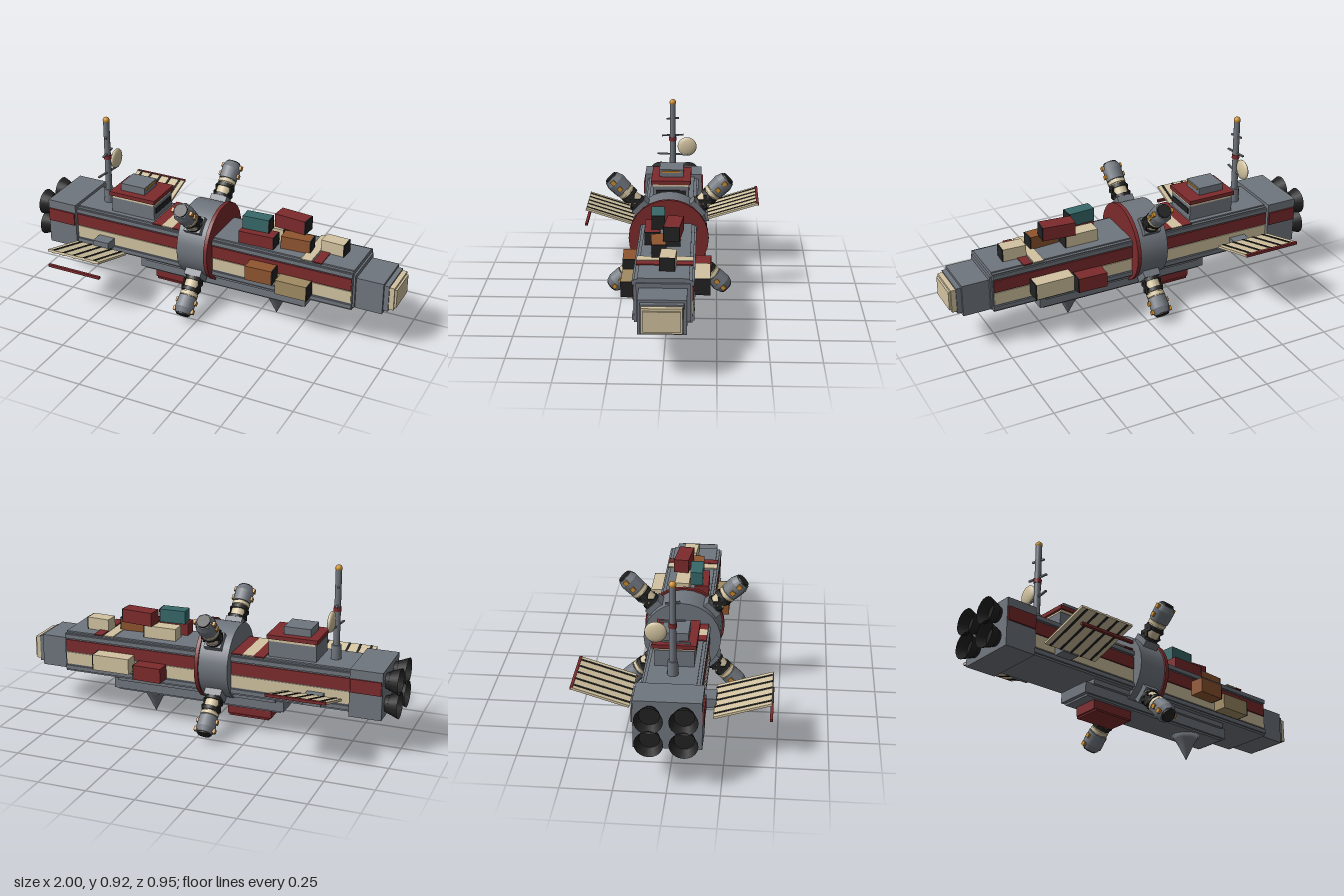
import * as THREE from 'three';

const mat = (name, color) => {
  const m = new THREE.MeshStandardMaterial({ color });
  m.name = name;
  return m;
};

export function createModel() {
  const root = new THREE.Group();
  root.name = 'spaceFreighter';
  const grey = mat('hullGrey', 0x70767e), red = mat('darkRed', 0x7c2a2c), cream = mat('cream', 0xd2c3a0);
  const black = mat('black', 0x222222), brown = mat('rustBrown', 0x90552f), teal = mat('teal', 0x37696a);
  const gold = mat('amber', 0xc98c30), khaki = mat('khaki', 0xa08c64);
  engineSafe(black);

  function engineSafe(m) { m.side = THREE.DoubleSide; }
  function add(name, geo, m, parent = root) {
    const mesh = new THREE.Mesh(geo, m);
    mesh.name = name;
    parent.add(mesh);
    return mesh;
  }
  // box given by its limits on each axis
  function box(name, m, x0, x1, y0, y1, z0, z1, parent = root) {
    const b = add(name, new THREE.BoxGeometry(x1 - x0, y1 - y0, z1 - z0), m, parent);
    b.position.set((x0 + x1) / 2, (y0 + y1) / 2, (z0 + z1) / 2);
    return b;
  }
  // upright cylinder from y0 to y1
  function cyl(name, m, r0, r1, y0, y1, sides, parent = root) {
    const c = add(name, new THREE.CylinderGeometry(r1, r0, y1 - y0, sides), m, parent);
    c.position.y = (y0 + y1) / 2;
    return c;
  }

  // main hull, nose and tail block
  box('hull', grey, -0.77, 0.79, 0.215, 0.425, -0.135, 0.135);
  box('hullRoof', grey, -0.77, 0.79, 0.425, 0.432, -0.12, 0.12);
  box('tailBlock', grey, -0.93, -0.765, 0.2, 0.447, -0.16, 0.16);
  box('noseCollar', grey, 0.79, 0.8, 0.225, 0.41, -0.125, 0.125);
  box('noseSection', grey, 0.8, 0.94, 0.22, 0.388, -0.112, 0.112);
  box('noseFrame', grey, 0.94, 0.965, 0.235, 0.375, -0.1, 0.1);
  box('noseCap', cream, 0.96, 0.99, 0.245, 0.367, -0.094, 0.094);
  box('noseCapFace', cream, 0.99, 1.0, 0.255, 0.355, -0.084, 0.084);

  // side stripes and edge rails
  for (const s of [-1, 1]) {
    const side = (name, m, x0, x1, y0, y1, z, t) =>
      box(name, m, x0, x1, y0, y1, Math.min(s * z, s * (z + t)), Math.max(s * z, s * (z + t)));
    side('redStripe', red, -0.765, 0.785, 0.325, 0.39, 0.135, 0.006);
    side('creamStripe', cream, -0.765, 0.785, 0.255, 0.32, 0.135, 0.004);
    side('upperRail', grey, -0.765, 0.79, 0.398, 0.42, 0.135, 0.009);
    side('lowerRail', grey, -0.765, 0.79, 0.225, 0.247, 0.135, 0.009);
    side('tailStripe', red, -0.925, -0.77, 0.33, 0.4, 0.16, 0.008);
    side('panelStrut', grey, -0.635, -0.545, 0.245, 0.295, 0.135, 0.07);
  }

  // painted bands across the roof
  for (const [m, x0, x1] of [[red, -0.315, -0.26], [cream, -0.26, -0.2], [red, -0.2, -0.14],
    [cream, 0.515, 0.57], [red, 0.578, 0.625]])
    box('roofBand', m, x0, x1, 0.431, 0.437, -0.135, 0.135);

  // four engine bells
  for (const y of [0.262, 0.384]) for (const z of [-0.08, 0.08]) {
    const bell = add('engineBell', new THREE.CylinderGeometry(0.038, 0.068, 0.075, 20, 1, true), black);
    bell.rotation.z = -Math.PI / 2;
    bell.position.set(-0.9625, y, z);
    const core = add('engineThroat', new THREE.CircleGeometry(0.05, 20), black);
    core.rotation.y = -Math.PI / 2;
    core.position.set(-0.95, y, z);
  }

  // bridge
  box('bridge', grey, -0.575, -0.325, 0.43, 0.515, -0.095, 0.095);
  box('bridgeTrim', cream, -0.57, -0.325, 0.513, 0.527, -0.098, 0.098);
  box('bridgeRoof', red, -0.582, -0.318, 0.527, 0.548, -0.106, 0.106);
  box('bridgeTop', grey, -0.535, -0.395, 0.548, 0.588, -0.065, 0.065);
  box('bridgeLight', gold, -0.396, -0.39, 0.572, 0.58, -0.05, 0.05);
  box('bridgeWindow', black, -0.326, -0.32, 0.465, 0.495, -0.08, 0.08);

  // mast with crossbars, beacon and dish
  const mast = new THREE.Group();
  mast.name = 'mast';
  mast.position.x = -0.648;
  root.add(mast);
  cyl('mastBase', grey, 0.027, 0.025, 0.43, 0.505, 12, mast);
  cyl('mastPole', grey, 0.017, 0.016, 0.5, 0.895, 12, mast);
  cyl('mastBand', red, 0.02, 0.02, 0.68, 0.703, 12, mast);
  add('beacon', new THREE.SphereGeometry(0.018, 14, 10), gold, mast).position.y = 0.898;
  [[0.603, 0.085, -0.12], [0.712, 0.06, 0.15], [0.807, 0.035, 0.3]].forEach(([y, h, turn]) => {
    box('crossbar', grey, -0.005, 0.005, y - 0.004, y + 0.004, -h, h, mast).rotation.y = turn;
  });
  const dish = add('dish', new THREE.SphereGeometry(0.053, 24, 14), cream, mast);
  dish.scale.x = 0.32;
  dish.position.set(0.005, 0.648, -0.08);

  // solar panels, sloping up and outward
  [[1, 0.256, 0.342, 0.255], [-1, 0.297, 0.383, 0.383]].forEach(([s, yIn, yOut, yBar]) => {
    const panel = new THREE.Group();
    panel.name = 'solarPanel';
    panel.position.set(-0.59, (yIn + yOut) / 2, s * 0.335);
    panel.rotation.x = -s * Math.atan2(yOut - yIn, 0.272);
    root.add(panel);
    box('panelSheet', cream, -0.15, 0.15, -0.006, 0.006, -0.143, 0.143, panel);
    for (let i = 0; i < 5; i++) {
      const x = -0.12 + i * 0.06;
      box('panelLine', black, x - 0.006, x + 0.006, -0.0085, 0.0085, -0.142, 0.142, panel);
    }
    box('panelTipBar', red, -0.74, -0.44, yBar - 0.007, yBar + 0.007, s * 0.47 - 0.007, s * 0.47 + 0.007);
  });

  // ring around the hull
  const ring = (name, m, r, x0, x1) => {
    const g = add(name, new THREE.CylinderGeometry(r, r, x1 - x0, 28), m);
    g.rotation.z = -Math.PI / 2;
    g.position.set((x0 + x1) / 2, 0.35, 0);
  };
  ring('ringDrum', grey, 0.197, -0.143, 0.012);
  ring('ringFlange', red, 0.206, 0.012, 0.032);

  // four docking arms on the ring
  for (let k = 0; k < 4; k++) {
    const arm = new THREE.Group();
    arm.name = 'dockingArm';
    arm.position.set(-0.06, 0.348, 0);
    arm.rotation.x = Math.PI / 4 + k * Math.PI / 2;
    root.add(arm);
    box('armFoot', grey, -0.045, 0.045, 0.17, 0.225, -0.045, 0.045, arm);
    cyl('armSleeve', cream, 0.04, 0.04, 0.22, 0.33, 12, arm);
    cyl('armBand', black, 0.047, 0.047, 0.225, 0.242, 12, arm);
    cyl('armBand', black, 0.047, 0.047, 0.28, 0.3, 12, arm);
    cyl('armCollar', cream, 0.047, 0.047, 0.306, 0.324, 12, arm);
    for (const s of [-1, 1]) for (const t of [-1, 1]) {
      const brace = box('armBrace', black, s * 0.041 - 0.004, s * 0.041 + 0.004, 0.228, 0.298, -0.009, 0.009, arm);
      brace.rotation.x = t * 0.8;
    }
    cyl('armPod', grey, 0.05, 0.053, 0.328, 0.39, 8, arm);
    cyl('armPodEnd', grey, 0.053, 0.042, 0.39, 0.42, 8, arm);
    cyl('armPort', black, 0.036, 0.034, 0.418, 0.428, 16, arm);
    for (const s of [-1, 1]) for (const y of [0.354, 0.402])
      box('armLamp', gold, s * 0.05 - 0.007, s * 0.05 + 0.007, y - 0.011, y + 0.011, -0.011, 0.011, arm);
  }

  // cargo crates, each with a dark door at the nose end
  const crate = (m, x0, x1, y0, y1, z0, z1, turn = 0) => {
    const g = new THREE.Group();
    g.name = 'crate';
    g.position.set((x0 + x1) / 2, (y0 + y1) / 2, (z0 + z1) / 2);
    g.rotation.y = turn;
    root.add(g);
    const a = (x1 - x0) / 2, b = (y1 - y0) / 2, c = (z1 - z0) / 2;
    box('crateBody', m, -a, a - 0.006, -b, b, -c, c, g);
    box('crateDoor', black, a - 0.006, a, -b, b, -c, c, g);
  };
  crate(red, 0.165, 0.355, 0.432, 0.497, 0.035, 0.11, 0.03);
  crate(cream, 0.19, 0.37, 0.432, 0.497, -0.068, 0.008);
  crate(brown, 0.378, 0.535, 0.432, 0.5, 0.0, 0.07, 0.07);
  crate(cream, 0.575, 0.7, 0.432, 0.497, -0.055, 0.02, -0.05);
  crate(teal, 0.172, 0.315, 0.5, 0.57, 0.012, 0.078, 0.05);
  crate(red, 0.315, 0.488, 0.5, 0.572, -0.075, 0.003, -0.1);
  crate(brown, 0.248, 0.395, 0.292, 0.37, 0.141, 0.215, 0.03);
  crate(khaki, 0.412, 0.582, 0.25, 0.328, 0.141, 0.212);
  crate(red, 0.212, 0.368, 0.25, 0.328, -0.218, -0.141, -0.03);
  crate(cream, 0.392, 0.598, 0.272, 0.355, -0.216, -0.141);

  // keel, belly pod and sensor spike
  box('keel', grey, -0.41, 0.53, 0.14, 0.195, -0.095, 0.095);
  box('keelNeck', grey, -0.37, 0.5, 0.19, 0.22, -0.11, 0.11);
  box('keelPlate', grey, -0.39, 0.51, 0.13, 0.142, -0.085, 0.085);
  box('bellyPod', red, -0.335, -0.1, 0.082, 0.132, -0.068, 0.068);
  box('bellyPodBase', red, -0.325, -0.11, 0.074, 0.084, -0.074, 0.074);
  const spike = [[0, 0], [0.012, 0.025], [0.034, 0.072], [0.055, 0.11], [0.072, 0.132], [0, 0.132]];
  add('sensorSpike', new THREE.LatheGeometry(spike.map(p => new THREE.Vector2(...p)), 24), grey).position.x = 0.335;

  return root;
}
